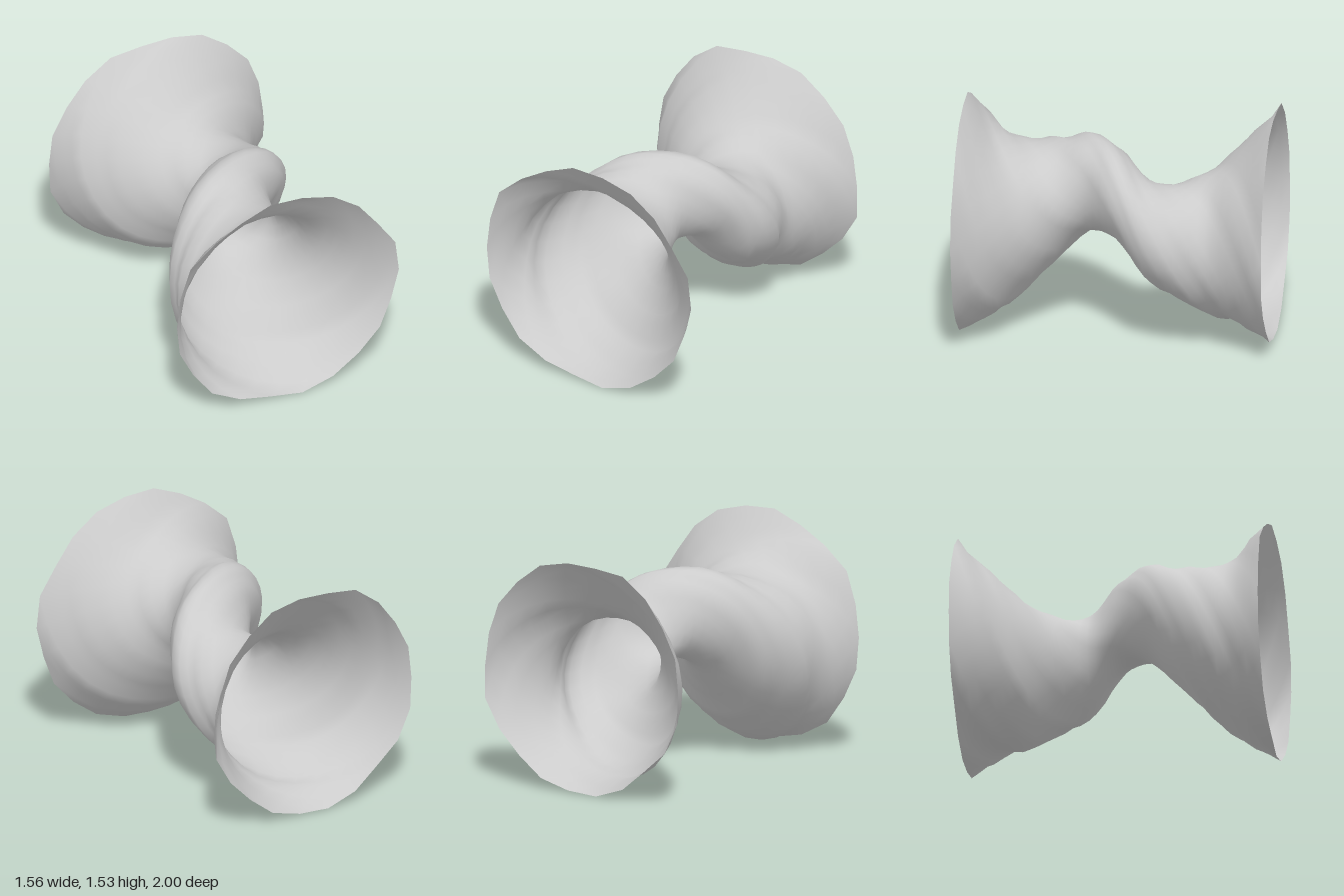
import * as THREE from 'three';

// Extents of the tube at evenly spaced stations from z = 1 to z = -1: xMin, xMax, yMin, yMax
const STATIONS = [
  [-0.79, 0.79, 0.01, 1.55],
  [-0.66, 0.59, 0.10, 1.31],
  [-0.63, 0.39, 0.25, 1.22],
  [-0.55, 0.25, 0.45, 1.23],
  [-0.39, 0.25, 0.66, 1.30],
  [-0.19, 0.43, 0.69, 1.27],
  [-0.09, 0.55, 0.48, 1.11],
  [-0.25, 0.55, 0.32, 1.06],
  [-0.47, 0.49, 0.17, 1.13],
  [-0.65, 0.60, 0.11, 1.31],
  [-0.77, 0.77, 0.01, 1.54],
];
const SIDES = 22, RINGS = 40, TWIST = 8;

// Smooth curve through one vector per station
const through = (fn) =>
  new THREE.CatmullRomCurve3(STATIONS.map(fn), false, 'catmullrom', 0.5);

function twistedTube() {
  const centre = through(([a, b, c, d]) => new THREE.Vector3((a + b) / 2, (c + d) / 2, 0));
  const radius = through(([a, b, c, d]) => new THREE.Vector3((b - a) / 2, (d - c) / 2, 0));
  const positions = [], index = [];

  for (let i = 0; i <= RINGS; i++) {
    const t = i / RINGS;
    const c = centre.getPoint(t), r = radius.getPoint(t);
    for (let j = 0; j < SIDES; j++) {
      const u = (j / SIDES) * Math.PI * 2;
      const angle = u - TWIST * t;
      // Shallow ridges that spiral with the twist
      const ridge = 0.99 + 0.015 * Math.sin(5 * u + 1) + 0.015 * Math.sin(8 * u + 3 * t);
      positions.push(
        c.x + r.x * ridge * Math.cos(angle),
        c.y + r.y * ridge * Math.sin(angle),
        1 - 2 * t
      );
    }
  }
  // Quads between neighbouring rings, closed around the tube
  for (let i = 0; i < RINGS; i++) {
    for (let j = 0; j < SIDES; j++) {
      const k = (j + 1) % SIDES;
      const a = i * SIDES + j, b = i * SIDES + k;
      const d = a + SIDES, e = b + SIDES;
      index.push(a, d, e, a, e, b);
    }
  }

  const geometry = new THREE.BufferGeometry();
  geometry.setAttribute('position', new THREE.Float32BufferAttribute(positions, 3));
  geometry.setIndex(index);
  geometry.computeVertexNormals();
  return geometry;
}

export function createModel() {
  const group = new THREE.Group();
  group.name = 'twistedTunnel';

  // Open shell, flared at both mouths and winding through a narrow waist
  const shell = new THREE.Mesh(
    twistedTube(),
    new THREE.MeshStandardMaterial({ color: 0xcccccc, side: THREE.DoubleSide })
  );
  shell.name = 'flaredShell';
  group.add(shell);
  return group;
}
